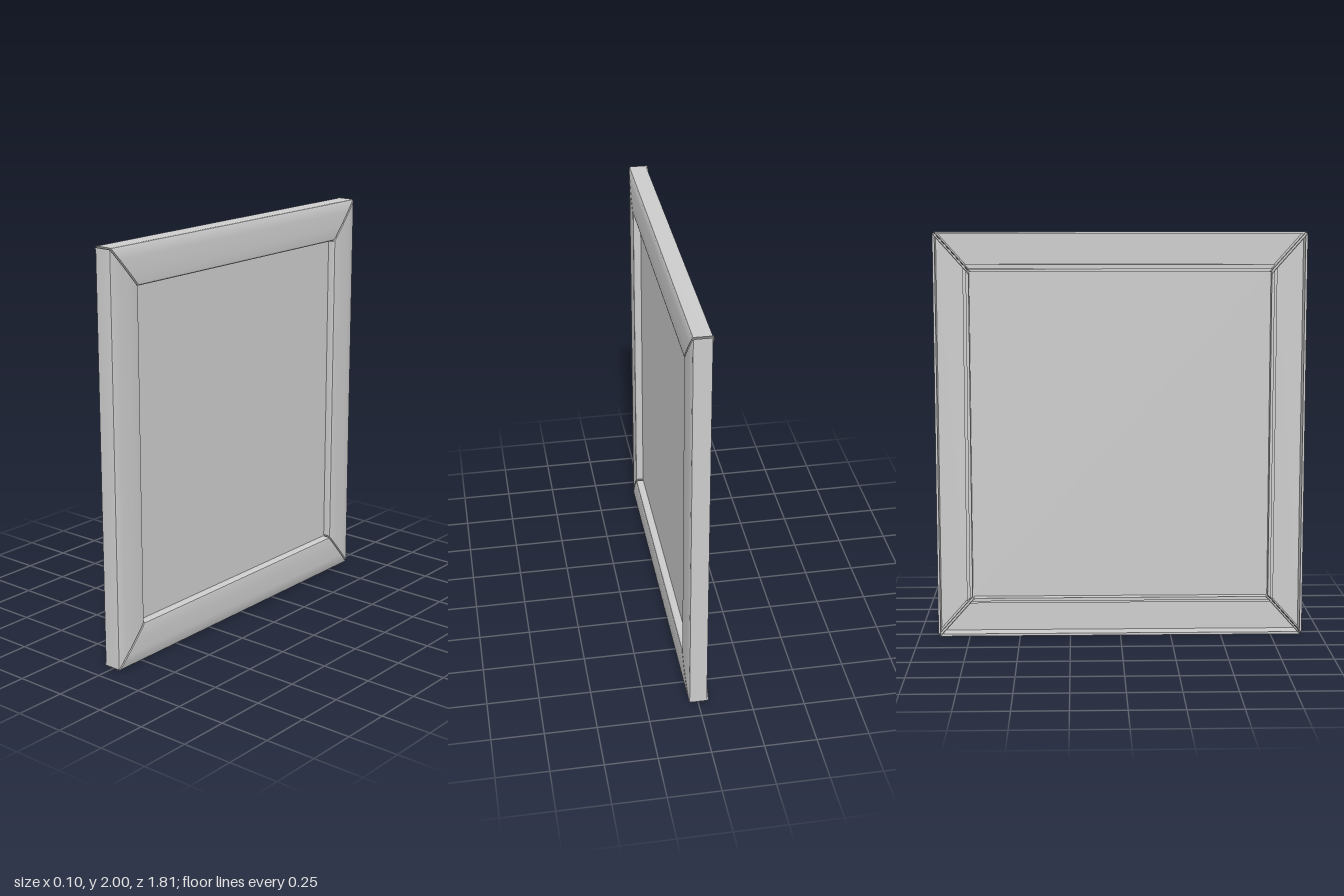
import * as THREE from 'three';
import { toCreasedNormals } from 'three/addons/utils/BufferGeometryUtils.js';

const HALF_Y = 1, HALF_Z = 0.907;     // outer half sizes
const WIDE_Y = 0.193, WIDE_Z = 0.172; // widths of the frame members
const GAP = 0.006, PLATE = 0.005;     // mitre gap and end plate thickness

// Outer skin of the section: u runs from outer edge (0) to inner edge (1), then depth
const skin = [[0, 0.036], [0.012, 0.041], [0.04, 0.044], [0.3, 0.048], [0.6, 0.05],
  [0.92, 0.05], [0.97, 0.048], [0.993, 0.043], [1, 0.037]];
const channel = [[0, -0.042], ...skin, [1, -0.042], [0.92, -0.042], [0.92, -0.004],
  [0.82, -0.004], [0.82, 0.037], [0.06, 0.035], [0.06, -0.042]];
const solid = [[0, -0.047], ...skin, [1, -0.047], [0.985, -0.05], [0.015, -0.05]];

// Sweeps a section along z between two mitred ends given as functions of u
function sweep(points, out, wide, start, end) {
  const shape = new THREE.Shape(points.map(([u, d]) => new THREE.Vector2(u, d)));
  const geo = new THREE.ExtrudeGeometry(shape, { depth: 1, bevelEnabled: false });
  const p = geo.attributes.position;
  for (let i = 0; i < p.count; i++) {
    const u = p.getX(i), d = p.getY(i), t = p.getZ(i);
    p.setXYZ(i, d, out - u * wide, THREE.MathUtils.lerp(start(u), end(u), t));
  }
  return toCreasedNormals(geo, 0.6);
}

export function createModel() {
  const model = new THREE.Group();
  model.name = 'framedPanel';
  const body = new THREE.Group();
  body.name = 'frame';
  body.position.y = 1;
  model.add(body);
  const material = new THREE.MeshStandardMaterial({ color: 0xcccccc });

  const add = (parent, geo, name) => {
    const mesh = new THREE.Mesh(geo, material);
    mesh.name = name;
    parent.add(mesh);
  };

  // Four hollow members, each closed by a plate at both mitred ends
  ['topMember', 'leftMember', 'bottomMember', 'rightMember'].forEach((name, i) => {
    const upright = i % 2 === 1;
    const [out, wide, half, cut] = upright
      ? [HALF_Z, WIDE_Z, HALF_Y, WIDE_Y] : [HALF_Y, WIDE_Y, HALF_Z, WIDE_Z];
    const reach = (u) => half - u * cut - GAP;
    const member = new THREE.Group();
    member.name = name;
    member.rotation.x = i * Math.PI / 2;
    add(member, sweep(channel, out, wide, (u) => -reach(u), reach), 'channel');
    add(member, sweep(solid, out, wide, (u) => reach(u) - PLATE, reach), 'endPlate');
    add(member, sweep(solid, out, wide, (u) => -reach(u), (u) => PLATE - reach(u)), 'endPlate');
    body.add(member);
  });

  // Thin recessed panel held inside the frame
  const panel = new THREE.BoxGeometry(0.01, 2 * (HALF_Y - 0.95 * WIDE_Y), 2 * (HALF_Z - 0.95 * WIDE_Z));
  panel.translate(0.007, 0, 0);
  add(body, panel, 'panel');
  return model;
}
